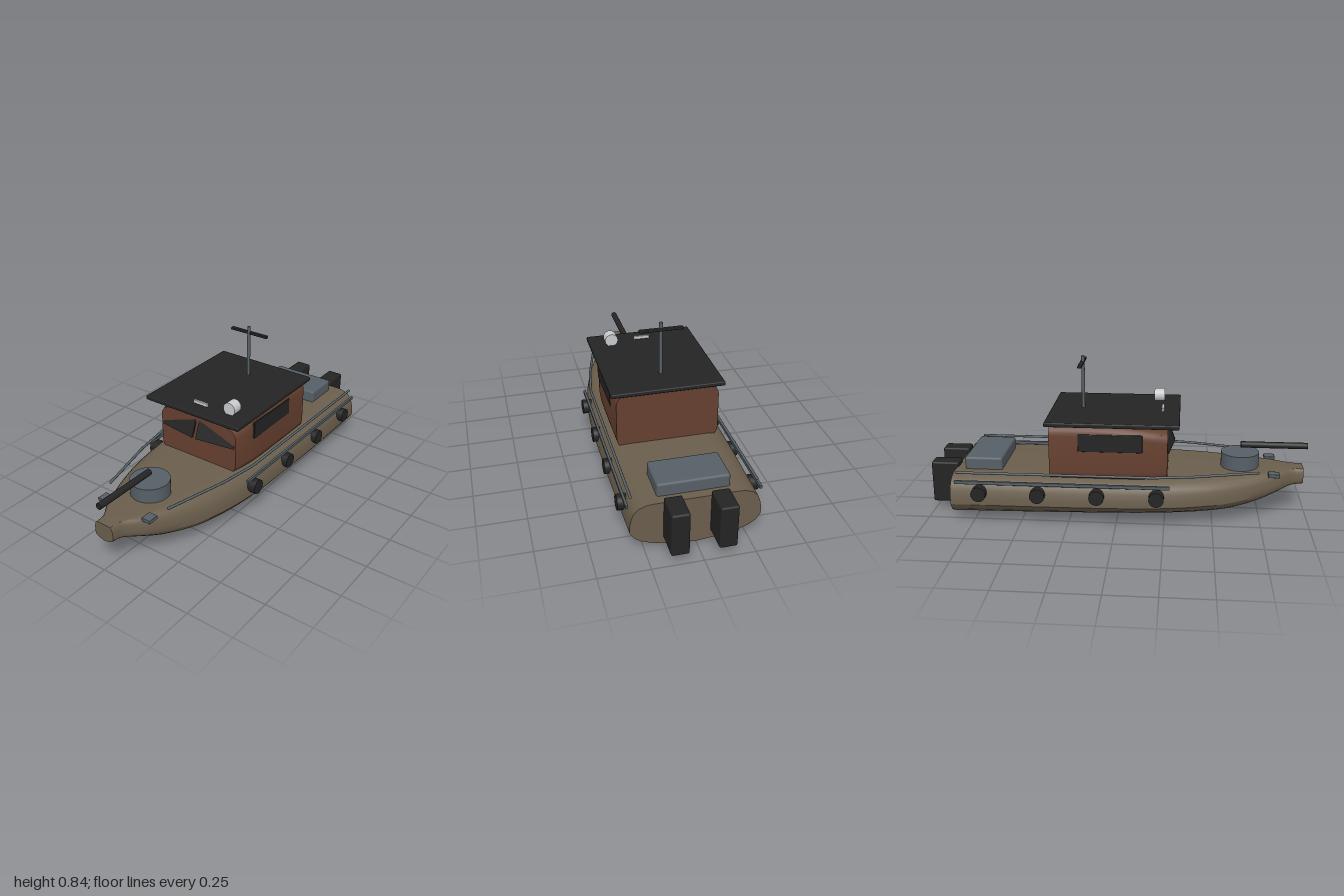
import * as THREE from 'three';
import { toCreasedNormals } from 'three/addons/utils/BufferGeometryUtils.js';
import { RoundedBoxGeometry } from 'three/addons/geometries/RoundedBoxGeometry.js';

const material = (name, color) => Object.assign(new THREE.MeshStandardMaterial({ color }), { name });

// Skin closed rings (counterclockwise seen from +z, ordered back to front) and cap both ends
function loft(rings, crease) {
  const n = rings[0].length;
  const pos = rings.flat().flatMap((p) => [p.x, p.y, p.z]);
  const index = [];
  for (let i = 0; i < rings.length - 1; i++) {
    for (let j = 0; j < n; j++) {
      const a = i * n + j, b = i * n + (j + 1) % n;
      index.push(a, b, a + n, b, b + n, a + n);
    }
  }
  [rings[0], rings[rings.length - 1]].forEach((ring, end) => {
    const c = ring.reduce((s, p) => s.add(p), new THREE.Vector3()).divideScalar(n);
    const centre = pos.length / 3, base = end * (rings.length - 1) * n;
    pos.push(c.x, c.y, c.z);
    for (let j = 0; j < n; j++) {
      const a = base + j, b = base + (j + 1) % n;
      index.push(centre, ...(end ? [a, b] : [b, a]));
    }
  });
  const g = new THREE.BufferGeometry();
  g.setAttribute('position', new THREE.Float32BufferAttribute(pos, 3));
  g.setIndex(index);
  return toCreasedNormals(g, crease);
}

// Smooth a list of station rings along the length
function smoothRings(stations, steps) {
  const columns = stations[0].map((_, j) =>
    new THREE.CatmullRomCurve3(stations.map((s) => s[j]), false, 'centripetal').getPoints(steps));
  return columns[0].map((_, i) => columns.map((col) => col[i]));
}

// Hull section: V bottom, rounded bilge, tumblehome side and flat deck
function hullRing([z, w, keel, chine, top]) {
  const low = (f) => keel + (chine - keel) * f, high = (f) => chine + (top - chine) * f;
  const half = [
    [0, keel], [0.35, low(0.11)], [0.62, low(0.25)], [0.82, low(0.46)], [0.93, low(0.68)], [1, low(1)],
    [1, high(0.25)], [0.975, high(0.52)], [0.94, high(0.72)], [0.86, high(0.89)], [0.75, high(0.98)],
    [0.65, top], [0, top],
  ];
  const mirrored = half.slice(1, -1).reverse().map(([x, y]) => [-x, y]);
  return [...half, ...mirrored].map(([x, y]) => new THREE.Vector3(x * w, y, z));
}

// Cabin section: rounded rectangle
function cabinRing([z, w, top]) {
  const r = 0.055, bottom = 0.235, ring = [];
  const corners = [[w - r, bottom + r], [w - r, top - r], [r - w, top - r], [r - w, bottom + r]];
  corners.forEach(([x, y], k) => {
    for (let i = 0; i <= 6; i++) {
      const a = (k - 1 + i / 6) * Math.PI / 2;
      ring.push(new THREE.Vector3(x + r * Math.cos(a), y + r * Math.sin(a), z));
    }
  });
  return ring;
}

export function createModel() {
  const model = new THREE.Group();
  model.name = 'patrolBoat';
  const hullPaint = material('hullOlive', 0x6a5e4c);
  const cabinPaint = material('cabinBrown', 0x66402f);
  const black = material('black', 0x242424);
  const steel = material('steelGrey', 0x566066);
  const pale = material('paleGrey', 0xc8ccce);

  const add = (name, geometry, mat, x = 0, y = 0, z = 0) => {
    const mesh = new THREE.Mesh(geometry, mat);
    mesh.name = name;
    mesh.position.set(x, y, z);
    model.add(mesh);
    return mesh;
  };
  const box = (w, h, d, r = 0.004) => new RoundedBoxGeometry(w, h, d, 2, r);
  const cylinder = (r, h, sides = 32) => new THREE.CylinderGeometry(r, r, h, sides);

  // Hull: z, half width, keel, chine, deck
  const hullStations = [
    [-0.86, 0.318, 0.004, 0.11, 0.256], [-0.3, 0.327, 0.02, 0.115, 0.256],
    [0.2, 0.316, 0.034, 0.12, 0.255], [0.45, 0.278, 0.041, 0.125, 0.255],
    [0.6, 0.234, 0.054, 0.132, 0.255], [0.75, 0.17, 0.09, 0.155, 0.257],
    [0.84, 0.122, 0.13, 0.173, 0.258], [0.92, 0.066, 0.158, 0.188, 0.26],
    [0.98, 0.056, 0.166, 0.195, 0.26],
  ];
  add('hull', loft(smoothRings(hullStations.map(hullRing), 48), 0.5), hullPaint);

  // Cabin: z, half width, top
  const cabinStations = [
    [-0.345, 0.265, 0.537], [-0.05, 0.265, 0.535], [0.1, 0.262, 0.522], [0.2, 0.251, 0.508], [0.262, 0.238, 0.496],
  ];
  add('cabin', loft(smoothRings(cabinStations.map(cabinRing), 16), 0.6), cabinPaint);
  add('roof', box(0.584, 0.023, 0.685, 0.006), black, 0, 0.547, -0.022);

  // Mast with crossbar, light bar and searchlight
  add('mast', cylinder(0.009, 0.285, 16), steel, 0, 0.6975, -0.195);
  add('mastCrossbar', box(0.228, 0.014, 0.022), black, 0, 0.804, -0.2);
  add('lightBar', box(0.087, 0.05, 0.013, 0.002), pale, 0, 0.55, 0.23);
  add('searchlight', cylinder(0.035, 0.056), pale, 0.178, 0.588, 0.206).rotation.x = Math.PI / 2;

  // Gun tub and barrel on the foredeck
  add('gunTub', cylinder(0.101, 0.085, 40), steel, 0, 0.2905, 0.645);
  add('gunBarrel', cylinder(0.017, 0.352, 20), black, 0, 0.372, 0.823).rotation.x = Math.PI / 2;

  add('rearLocker', box(0.356, 0.075, 0.2, 0.012), steel, 0, 0.284, -0.71);

  for (const [side, s] of [['left', 1], ['right', -1]]) {
    // Raked and swept windscreen pane, partly sunk into the cabin
    const pane = new THREE.BoxGeometry(0.218, 0.1, 0.009);
    pane.translate(s * 0.119, 0.439, 0);
    const p = pane.attributes.position;
    for (let i = 0; i < p.count; i++) {
      p.setZ(i, p.getZ(i) + 0.2575 - 0.1385 * (Math.abs(p.getX(i)) - 0.01) - 0.387 * (p.getY(i) - 0.483));
    }
    pane.computeVertexNormals();
    add(side + 'Windscreen', pane, black);
    add(side + 'SideWindow', box(0.012, 0.092, 0.33, 0.003), black, s * 0.262, 0.447, -0.03);

    // Handrail following the deck edge, and rub rail along the side
    const path = new THREE.CurvePath();
    const points = [[0.185, 0.73], [0.268, 0.4], [0.3, 0.19], [0.304, -0.82]]
      .map(([x, z]) => new THREE.Vector3(s * x, 0.282, z));
    for (let i = 0; i < 3; i++) path.add(new THREE.LineCurve3(points[i], points[i + 1]));
    add(side + 'Handrail', new THREE.TubeGeometry(path, 60, 0.007, 8), steel);
    points.forEach((q, i) => {
      if (i === 0 || i === 3) add(side + 'HandrailEnd', new THREE.SphereGeometry(0.007, 8, 6), steel, q.x, q.y, q.z);
    });
    add(side + 'RubRail', box(0.014, 0.018, 1.11, 0.003), steel, s * 0.323, 0.237, -0.277);

    // Round fenders
    for (let i = 0; i < 4; i++) {
      add(side + 'Fender', cylinder(0.039, 0.05, 28), black, s * 0.323, 0.179, 0.21 - 0.305 * i)
        .rotation.z = Math.PI / 2;
    }
    add(side + 'BowCleat', box(0.05, 0.019, 0.058, 0.003), steel, s * 0.139, 0.256, 0.815);
    add(side + 'Outboard', box(0.088, 0.225, 0.148, 0.01), black, s * 0.114, 0.168, -0.926);
  }
  return model;
}
